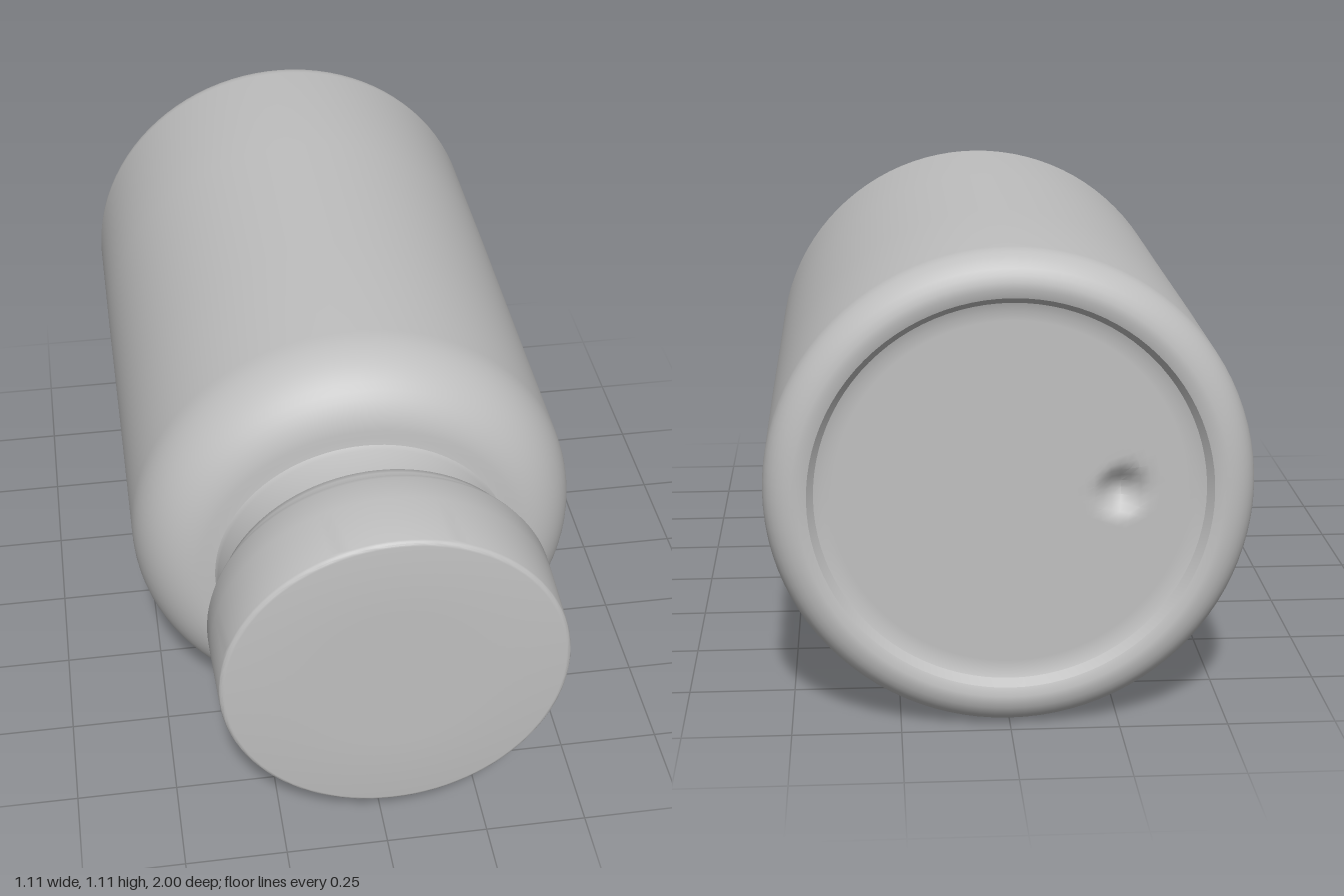
import * as THREE from 'three';
import { toCreasedNormals } from 'three/addons/utils/BufferGeometryUtils.js';

const CENTRE_Y = 0.558;
const SEGMENTS = 96;

// Profile of [radius, z] pairs, turned about the z axis (back to front)
function turned(profile) {
  const points = profile.map(([r, z]) => new THREE.Vector2(r, z));
  return new THREE.LatheGeometry(points, SEGMENTS).rotateX(Math.PI / 2);
}

// Quarter-round corner between two angles, in degrees from the radial direction
function arc(r, z, rx, rz, from, to, steps = 8) {
  return Array.from({ length: steps + 1 }, (_, i) => {
    const a = THREE.MathUtils.degToRad(from + ((to - from) * i) / steps);
    return [r + rx * Math.cos(a), z + rz * Math.sin(a)];
  });
}

export function createModel() {
  const model = new THREE.Group();
  model.name = 'jar';
  const grey = new THREE.MeshStandardMaterial({ color: 0xbfbfbf });
  grey.name = 'plain grey';

  function addPart(name, geometry, x, y) {
    const mesh = new THREE.Mesh(toCreasedNormals(geometry, 0.6), grey);
    mesh.name = name;
    mesh.position.set(x, y, 0);
    model.add(mesh);
  }

  // Body: recessed base, rounded heel, straight wall, round shoulder and neck
  const base = Array.from({ length: 21 }, (_, i) => [i * 0.021, -0.965]);
  const body = turned([
    ...base,
    [0.44, -0.972], [0.455, -0.993],
    ...arc(0.475, -0.92, 0.08, 0.08, -90, 0),
    [0.556, -0.5], [0.555, 0],
    ...arc(0.385, 0.385, 0.17, 0.2, 0, 90, 14),
    [0.366, 0.588], [0.36, 0.6], [0.36, 0.72],
  ]);

  // Small dent in the base
  const p = body.attributes.position;
  for (let i = 0; i < p.count; i++) {
    const d = Math.hypot(p.getX(i) + 0.25, p.getY(i)) / 0.07;
    if (p.getZ(i) < -0.96 && d < 1) p.setZ(i, p.getZ(i) + 0.04 * (1 - d * d) ** 2);
  }
  addPart('body', body, 0, CENTRE_Y);

  // Cap: lower collar, stepped band, skirt and flat face
  addPart('cap', turned([
    [0.35, 0.695], [0.368, 0.695], [0.386, 0.712],
    [0.391, 0.73], [0.393, 0.752], [0.4, 0.762],
    [0.412, 0.766], [0.417, 0.78], [0.416, 0.85],
    ...arc(0.399, 0.985, 0.013, 0.015, 0, 90, 5),
    [0.2, 1], [0, 1],
  ]), 0.012, 0.562);

  return model;
}
